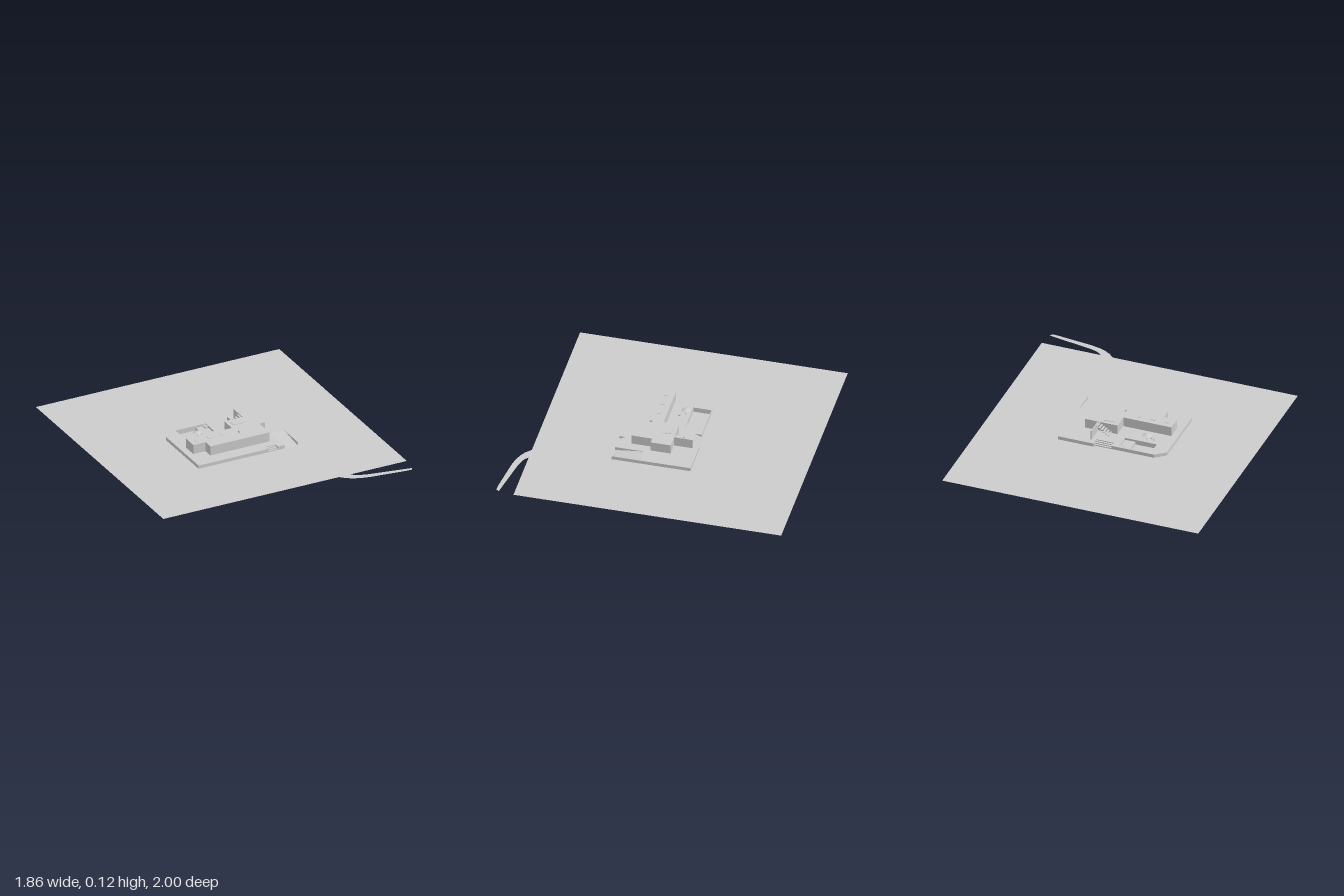
import * as THREE from 'three';

const GROUND = 0.01, DECK = 0.035, ROOF = 0.104;
const mat = new THREE.MeshStandardMaterial({ color: 0xcccccc, flatShading: true, side: THREE.DoubleSide });

// Plan shape from [x, z] pairs
const plan = pts => new THREE.Shape(pts.map(([x, z]) => new THREE.Vector2(x, -z)));
const rect = (x0, z0, x1, z1) => [[x0, z0], [x1, z0], [x1, z1], [x0, z1]];

export function createModel() {
  const root = new THREE.Group();

  const add = (name, geo, parent = root) => {
    const m = new THREE.Mesh(geo, mat);
    m.name = name;
    parent.add(m);
    return m;
  };
  const group = name => {
    const g = new THREE.Group();
    g.name = name;
    root.add(g);
    return g;
  };
  // Flat horizontal sheet with optional holes
  const sheet = (name, pts, y, holes = [], parent = root) => {
    const s = plan(pts);
    holes.forEach(h => s.holes.push(plan(h)));
    return add(name, new THREE.ShapeGeometry(s).rotateX(-Math.PI / 2).translate(0, y, 0), parent);
  };
  // Upright prism over a plan
  const prism = (name, pts, y0, y1, parent = root) =>
    add(name, new THREE.ExtrudeGeometry(plan(pts), { depth: y1 - y0, bevelEnabled: false })
      .rotateX(-Math.PI / 2).translate(0, y0, 0), parent);
  // Open ring of walls following a plan
  const walls = (name, pts, y0, y1, parent = root) => {
    const pos = [];
    pts.forEach(([ax, az], i) => {
      const [bx, bz] = pts[(i + 1) % pts.length];
      pos.push(ax, y0, az, ax, y1, az, bx, y1, bz, ax, y0, az, bx, y1, bz, bx, y0, bz);
    });
    const g = new THREE.BufferGeometry();
    g.setAttribute('position', new THREE.Float32BufferAttribute(pos, 3));
    g.computeVertexNormals();
    return add(name, g, parent);
  };
  const box = (name, x0, x1, y0, y1, z0, z1, parent = root) =>
    add(name, new THREE.BoxGeometry(x1 - x0, y1 - y0, z1 - z0)
      .translate((x0 + x1) / 2, (y0 + y1) / 2, (z0 + z1) / 2), parent);

  // Site, opened where the terrace stands
  const site = [[-0.375, -0.155], [-0.305, -0.213], [0.13, -0.213], [0.13, -0.23],
    [0.385, -0.23], [0.385, 0.322], [-0.375, 0.322]];
  sheet('ground', rect(-0.93, -1, 0.93, 0.87), GROUND, [site]);

  // Driveway hidden just under the lawn, then the road end beyond its edge
  sheet('driveway', [[0.28, 0.322], [0.385, 0.322], [0.4, 0.55], [0.44, 0.75], [0.5, 0.87],
    [0.415, 0.87], [0.35, 0.75], [0.3, 0.55]], GROUND - 0.001);
  sheet('road', [[0.413, 0.868], [0.5, 0.868], [0.52, 0.888], [0.55, 0.905], [0.6, 0.92], [0.915, 0.977],
    [0.9, 0.998], [0.85, 0.995], [0.61, 0.965], [0.54, 0.95], [0.49, 0.93], [0.45, 0.905]], GROUND - 0.001);

  // Terrace: hollow deck with notches for both stairs and the car ramp
  const terrace = [[-0.375, -0.155], [-0.305, -0.213], [0.005, -0.213], [0.005, -0.172], [0.13, -0.172],
    [0.13, -0.23], [0.385, -0.23], [0.385, 0.322], [0.381, 0.322], [0.381, 0.12], [0.28, 0.12],
    [0.28, 0.322], [0.232, 0.322], [0.232, 0.285], [0.155, 0.285], [0.155, 0.322], [-0.375, 0.322]];
  const pool = rect(-0.275, -0.21, -0.045, -0.085);
  sheet('terraceDeck', terrace, DECK, [pool]);
  walls('terraceWalls', terrace, GROUND, DECK);

  // Car ramp
  const ramp = new THREE.PlaneGeometry(0.101, 0.202).rotateX(-Math.PI / 2);
  const p = ramp.attributes.position;
  for (let i = 0; i < p.count; i++) p.setY(i, p.getZ(i) > 0 ? GROUND : DECK);
  ramp.translate(0.3305, 0, 0.221);
  add('carRamp', ramp);

  // Garden stairs at front and back
  const frontStairs = group('frontStairs'), backStairs = group('backStairs');
  for (let i = 0; i < 3; i++) {
    const y = DECK - 0.006 * (i + 1);
    box('step', 0.155, 0.232, GROUND, y, 0.285 + i * 0.0123, 0.285 + (i + 1) * 0.0123, frontStairs);
    box('step', 0.005, 0.13, GROUND, y, -0.172 - (i + 1) * 0.0137, -0.172 - i * 0.0137, backStairs);
  }

  // Pool with a deep and a shallow end
  const poolGroup = group('pool');
  walls('poolDeepWalls', rect(-0.275, -0.21, -0.12, -0.085), 0, 0.02, poolGroup);
  walls('poolWalls', pool, 0.02, DECK, poolGroup);
  sheet('poolDeepFloor', rect(-0.275, -0.21, -0.12, -0.085), 0, [], poolGroup);
  sheet('poolShallowFloor', rect(-0.12, -0.21, -0.045, -0.085), 0.02, [], poolGroup);
  box('poolBench', -0.07, -0.045, 0.02, 0.029, -0.21, -0.172, poolGroup);

  // House
  prism('house', [[-0.328, 0.05], [0.02, 0.05], [0.02, -0.06], [0.258, -0.06], [0.258, 0.08],
    [0.215, 0.08], [0.215, 0.226], [-0.235, 0.226], [-0.235, 0.155], [-0.328, 0.155]], DECK, ROOF);

  // Roof lights and vent
  [-0.28, -0.18, -0.08].forEach(x => box('roofLight', x - 0.013, x + 0.013, ROOF, ROOF + 0.003, 0.09, 0.12));
  box('roofHatch', 0.05, 0.135, ROOF, ROOF + 0.003, -0.03, 0.02);
  box('roofVent', 0.03, 0.036, ROOF, ROOF + 0.011, 0.125, 0.142);

  // Garden wall and outdoor stair up to the roof
  box('gardenWall', 0.16, 0.165, DECK, ROOF, -0.19, -0.06);
  const roofStair = group('roofStair');
  for (let i = 0; i < 6; i++) {
    const x = 0.06 + i * 0.0165, y = DECK + 0.011 * (i + 1);
    box('tread', x, x + 0.013, y - 0.005, y, -0.115, -0.06, roofStair);
  }

  // Sunshade with small seats beside the pool
  const shade = group('sunshade');
  add('canopy', new THREE.ConeGeometry(0.033, 0.014, 10, 1, true).translate(-0.19, 0.078, -0.055), shade);
  add('pole', new THREE.CylinderGeometry(0.002, 0.002, 0.045, 6).translate(-0.19, 0.0575, -0.055), shade);
  [[-0.237, -0.042], [-0.215, -0.03], [-0.165, -0.016]].forEach(([x, z]) =>
    add('seat', new THREE.CylinderGeometry(0.006, 0.006, 0.01, 8).translate(x, DECK + 0.005, z), shade));

  return root;
}
